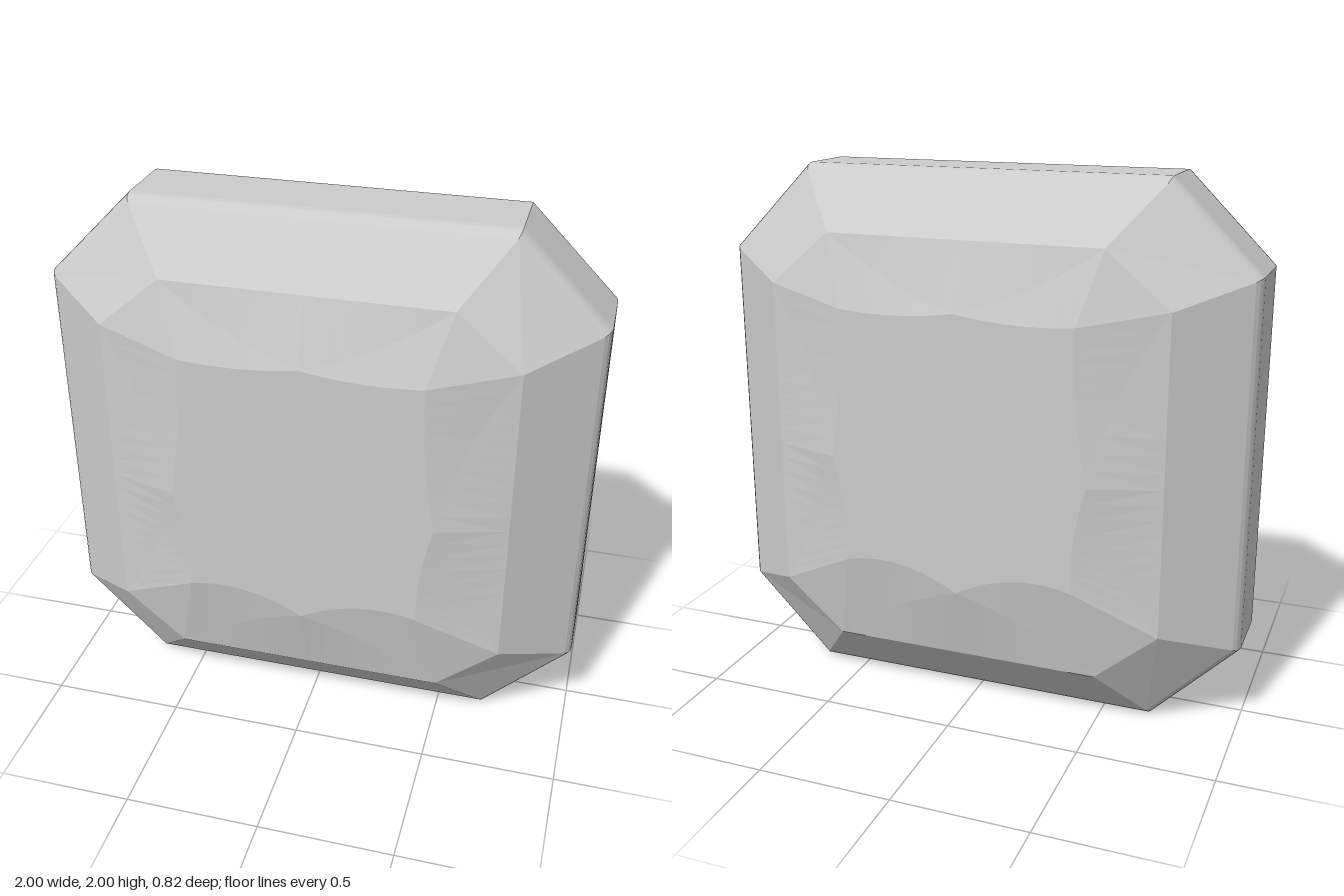
import * as THREE from 'three';

const V = (x, y, z) => new THREE.Vector3(x, y, z);
const CENTER = V(0, 1, 0);

// Collects flat triangles, each turned to face away from the stone's centre
function facets() {
  const pos = [];
  const tri = (a, b, c) => {
    const n = b.clone().sub(a).cross(c.clone().sub(a));
    if (n.lengthSq() < 1e-14) return;
    const mid = a.clone().add(b).add(c).divideScalar(3).sub(CENTER);
    for (const p of n.dot(mid) > 0 ? [a, b, c] : [a, c, b]) pos.push(p.x, p.y, p.z);
  };
  // surface between two rows of points
  const loft = (p, q) => {
    for (let i = 0; i < p.length - 1; i++) {
      tri(p[i], p[i + 1], q[i]);
      tri(p[i + 1], q[i + 1], q[i]);
    }
  };
  const mesh = (name) => {
    const g = new THREE.BufferGeometry();
    g.setAttribute('position', new THREE.Float32BufferAttribute(pos, 3));
    g.computeVertexNormals();
    const m = new THREE.Mesh(g, new THREE.MeshStandardMaterial({ color: 0xcccccc, flatShading: true }));
    m.name = name;
    return m;
  };
  return { tri, loft, mesh };
}

// Row of points from a to b, bowed at its middle by (dx, dy)
function bow(a, b, dx = 0, dy = 0) {
  const ctrl = a.clone().lerp(b, 0.5).add(V(2 * dx, 2 * dy, 0));
  return new THREE.QuadraticBezierCurve3(a, ctrl, b).getPoints(10);
}

// Closed octagon with clipped corners
function octagon([w, wc, h, hc, z]) {
  const pts = [[w, hc], [wc, h], [-wc, h], [-w, hc], [-w, -hc], [-wc, -h], [wc, -h], [w, -hc], [w, hc]];
  return pts.map(([x, y]) => V(x, 1 + y, z));
}

export function createModel() {
  const group = new THREE.Group();
  group.name = 'cutGem';

  // Girdle with its softened rim, and the sloping bezel on both faces
  const girdle = facets(), bezel = facets();
  const half = [
    [1, 0.68, 1, 0.68, 0.115], [0.997, 0.679, 0.997, 0.679, 0.135],
    [0.99, 0.676, 0.99, 0.676, 0.152], [0.978, 0.67, 0.978, 0.67, 0.167],
  ];
  const rings = [...half.map((r) => [...r.slice(0, 4), -r[4]]).reverse(), ...half].map(octagon);
  for (let i = 0; i < rings.length - 1; i++) girdle.loft(rings[i], rings[i + 1]);
  for (const s of [1, -1]) {
    bezel.loft(octagon([0.978, 0.67, 0.978, 0.67, 0.167 * s]), octagon([0.74, 0.51, 0.78, 0.585, 0.338 * s]));
  }
  group.add(girdle.mesh('girdle'), bezel.mesh('bezel'));

  // Crown on each face, built quarter by quarter
  for (const sz of [1, -1]) {
    const main = facets(), star = facets(), table = facets();
    const zr = 0.338 * sz, zt = 0.412 * sz, midY = 0.97;
    const middle = V(0, midY, zt);
    for (const sx of [1, -1]) {
      for (const sy of [1, -1]) {
        const top = sy > 0;
        const cornerH = V(0.51 * sx, 1 + 0.78 * sy, zr);
        const cornerV = V(0.74 * sx, 1 + 0.585 * sy, zr);
        const inner = V(0.435 * sx, top ? 1.525 : 0.57, zt);
        const apexH = V(0, top ? 1.54 : 0.5, zt);
        const apexV = V(0.485 * sx, midY, zt);

        // triangular main facets with bowed edges
        const edgeH = bow(cornerH, apexH, 0, -0.03 * sy);
        const edgeV = bow(cornerV, apexV, -0.035 * sx, 0);
        main.loft(bow(cornerH, V(0, 1 + 0.78 * sy, zr)), edgeH);
        main.loft(bow(cornerV, V(0.74 * sx, midY, zr)), edgeV);

        // star facets and the corner facet
        const rimH = bow(inner, apexH, 0, top ? -0.015 : 0.045);
        const rimV = bow(inner, apexV, -0.015 * sx, 0);
        star.loft(edgeH, rimH);
        star.loft(edgeV, rimV);
        star.tri(cornerH, cornerV, inner);

        // flat table
        for (const rim of [rimH, rimV]) {
          for (let i = 0; i < rim.length - 1; i++) table.tri(middle, rim[i], rim[i + 1]);
        }
      }
    }
    const side = sz > 0 ? 'front' : 'back';
    group.add(main.mesh(side + 'MainFacets'), star.mesh(side + 'StarFacets'), table.mesh(side + 'Table'));
  }
  return group;
}
